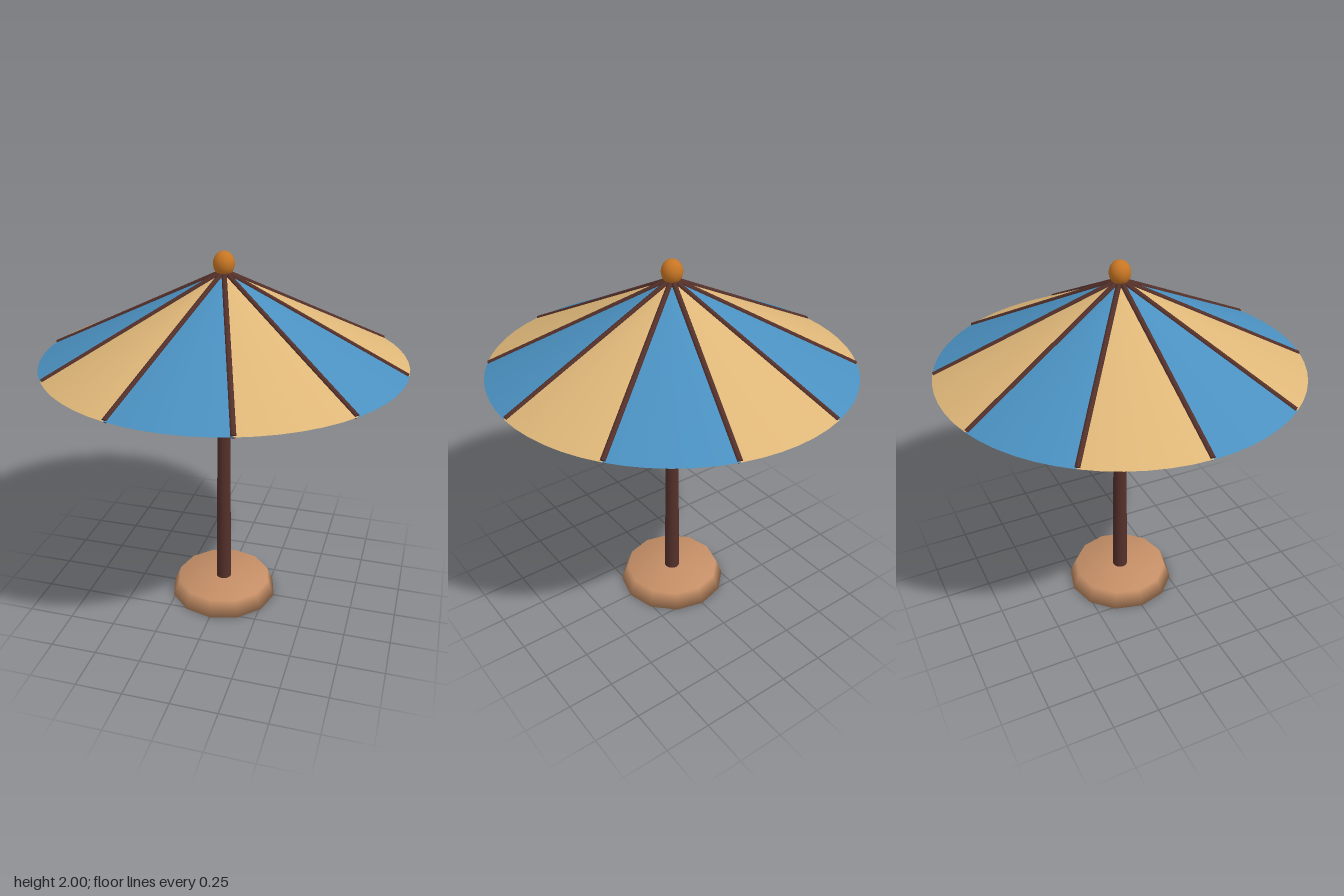
import * as THREE from 'three';
import { mergeVertices } from 'three/addons/utils/BufferGeometryUtils.js';

const material = (name, color, side = THREE.FrontSide) => {
  const m = new THREE.MeshStandardMaterial({ color, side });
  m.name = name;
  return m;
};

export function createModel() {
  const model = new THREE.Group();
  const blue = material('blue fabric', 0x4a90c0, THREE.DoubleSide);
  const tan = material('tan fabric', 0xdeb678, THREE.DoubleSide);
  const wood = material('dark wood', 0x54302a);
  const stone = material('clay base', 0xc48e66);
  const orange = material('orange finial', 0xc87624);

  const add = (name, geometry, mat, y = 0) => {
    const mesh = new THREE.Mesh(geometry, mat);
    mesh.name = name;
    mesh.position.y = y;
    model.add(mesh);
    return mesh;
  };

  const PANELS = 10, RADIUS = 0.95, RIM_Y = 1.44, APEX_Y = 1.9;
  const height = APEX_Y - RIM_Y;
  const step = (Math.PI * 2) / PANELS;

  // Base: low tapered disc, shaded smoothly across its edges
  const disc = new THREE.CylinderGeometry(0.265, 0.302, 0.09, 12);
  disc.deleteAttribute('normal');
  disc.deleteAttribute('uv');
  const base = mergeVertices(disc);
  base.computeVertexNormals();
  add('base', base, stone, 0.045);

  // Tapered pole up to the apex
  add('pole', new THREE.CylinderGeometry(0.028, 0.043, 1.86, 16), wood, 0.96);

  // Canopy: alternating cone sectors, with a rib along each seam
  const from = new THREE.Vector3(0, APEX_Y, 0);
  for (let i = 0; i < PANELS; i++) {
    const a = i * step;
    const panel = new THREE.ConeGeometry(RADIUS, height, 6, 1, true, Math.PI / 2 - a - step, step);
    add(`canopyPanel${i + 1}`, panel, i % 2 ? tan : blue, RIM_Y + height / 2);

    const to = new THREE.Vector3(Math.cos(a) * 0.942, RIM_Y, Math.sin(a) * 0.942);
    const dir = to.clone().sub(from);
    const rib = add(`rib${i + 1}`, new THREE.CylinderGeometry(0.014, 0.014, dir.length(), 8), wood);
    rib.position.copy(from).add(to).multiplyScalar(0.5);
    rib.quaternion.setFromUnitVectors(new THREE.Vector3(0, 1, 0), dir.normalize());
  }

  // Slightly tall ball on top
  const ball = new THREE.SphereGeometry(0.055, 20, 14);
  ball.scale(1, 1.13, 1);
  add('finial', ball, orange, 1.938);

  return model;
}
